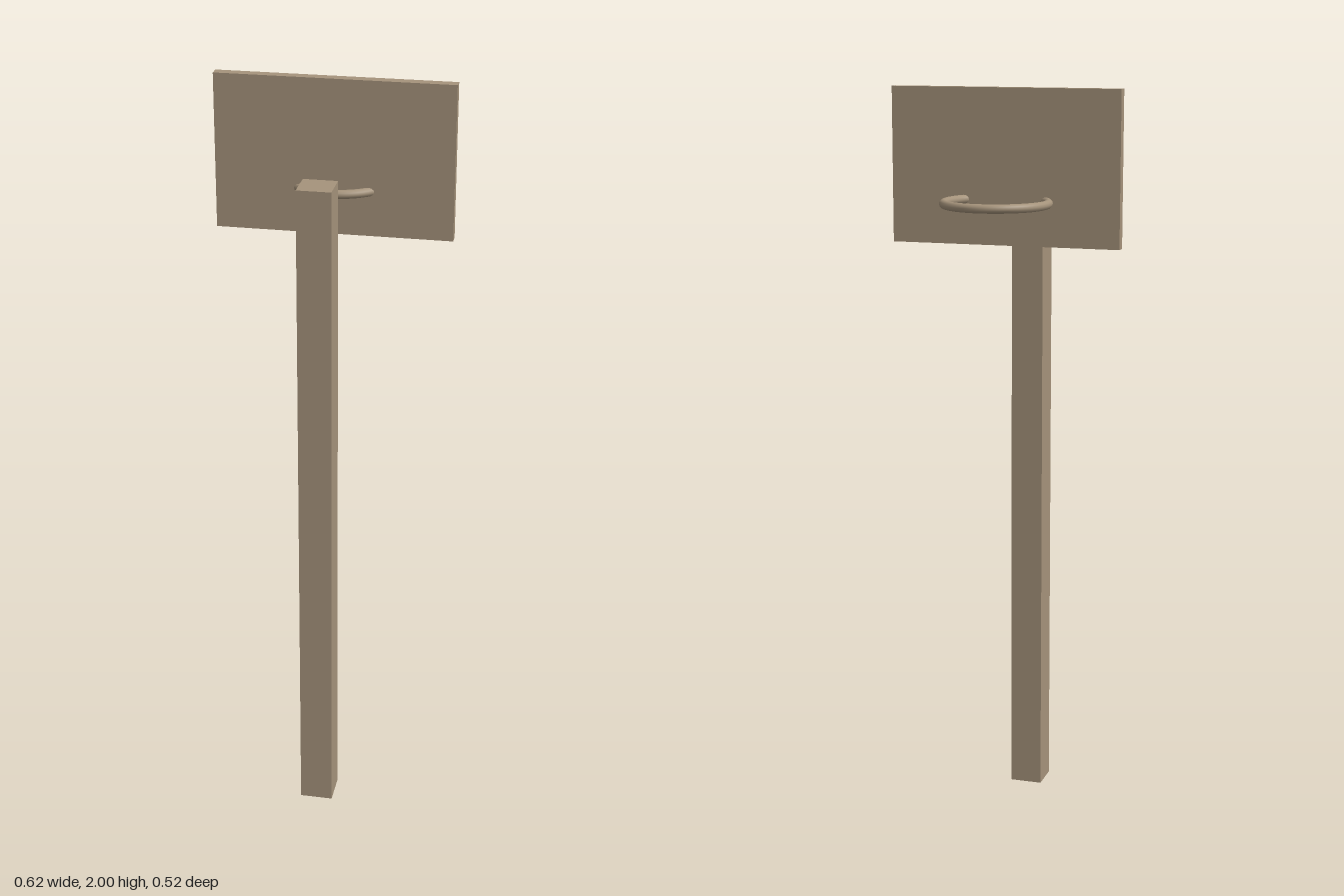
import * as THREE from 'three';

export function createModel() {
  const model = new THREE.Group();
  const tan = new THREE.MeshStandardMaterial({ color: 0xa5937b });
  tan.name = 'tan';

  const add = (name, geometry, x, y, z) => {
    const mesh = new THREE.Mesh(geometry, tan);
    mesh.name = name;
    mesh.position.set(x, y, z);
    model.add(mesh);
    return mesh;
  };

  // Square post standing on the ground, clear of the board
  add('post', new THREE.BoxGeometry(0.088, 1.796, 0.088), 0, 0.898, 0.213);

  // Upright backboard
  add('backboard', new THREE.BoxGeometry(0.62, 0.408, 0.028), 0, 1.796, -0.023);

  // Horizontal hoop passing through the backboard
  const hoop = add('hoop', new THREE.TorusGeometry(0.135, 0.0117, 12, 64), 0, 1.71, -0.112);
  hoop.rotation.x = Math.PI / 2;

  return model;
}
